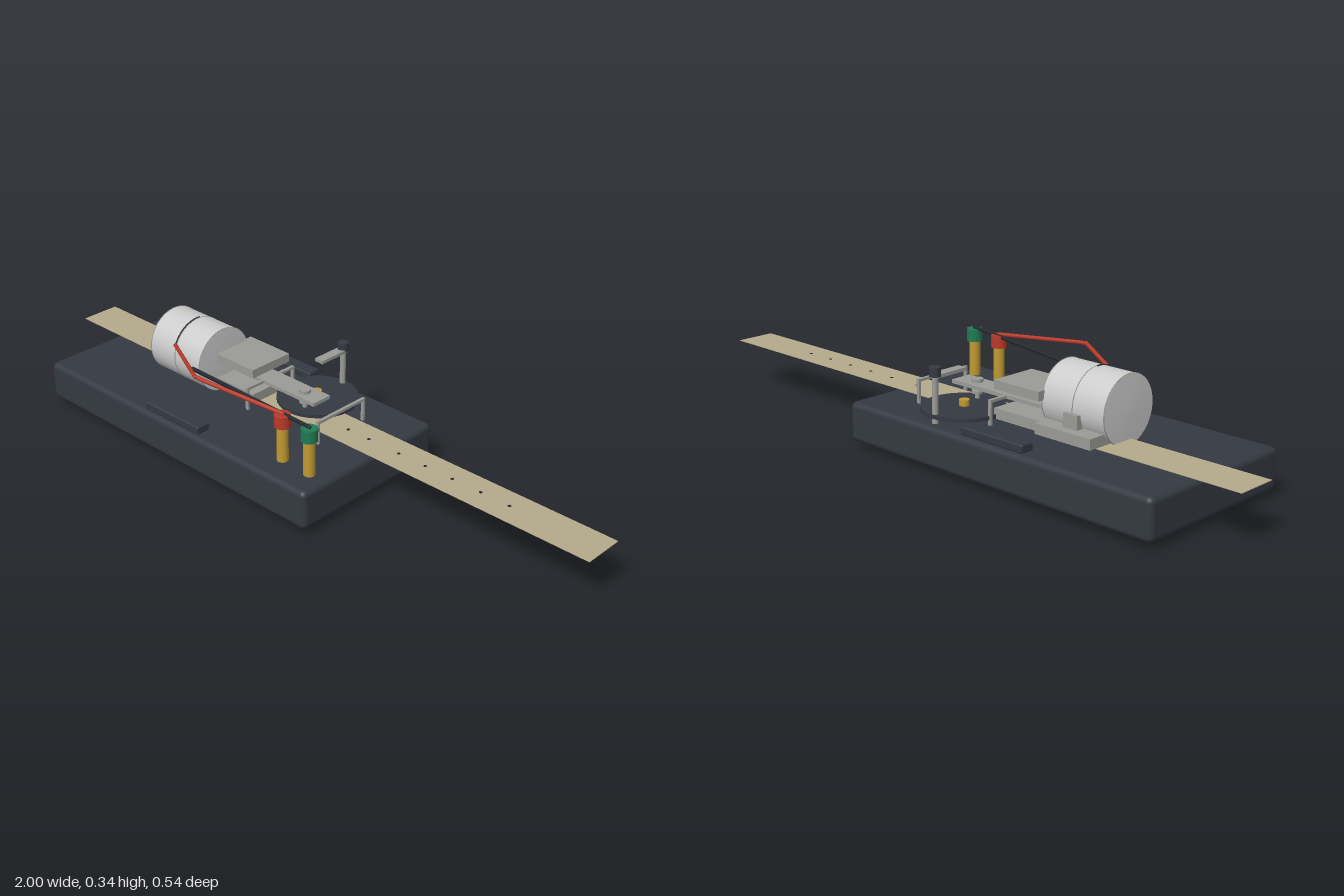
import * as THREE from 'three';
import { RoundedBoxGeometry } from 'three/addons/geometries/RoundedBoxGeometry.js';

const mat = (color) => new THREE.MeshStandardMaterial({ color });
const M = {
  grey: mat(0xcccccc), steel: mat(0x9a9a96), dark: mat(0x343941), black: mat(0x24282d),
  brass: mat(0xc09a30), red: mat(0xb83a2a), green: mat(0x1f7a55), paper: mat(0xb4a98a),
};

export function createModel() {
  const model = new THREE.Group();
  const add = (name, geometry, material, x = 0, y = 0, z = 0, parent = model) => {
    const mesh = new THREE.Mesh(geometry, material);
    mesh.name = name;
    mesh.position.set(x, y, z);
    parent.add(mesh);
    return mesh;
  };
  // Box given by its extents on each axis
  const box = (name, material, [x0, x1], [y0, y1], [z0, z1], parent) =>
    add(name, new THREE.BoxGeometry(x1 - x0, y1 - y0, z1 - z0), material,
      (x0 + x1) / 2, (y0 + y1) / 2, (z0 + z1) / 2, parent);
  // Upright cylinder from y0 to y1
  const post = (name, material, r, x, z, y0, y1, parent) =>
    add(name, new THREE.CylinderGeometry(r, r, y1 - y0, 32), material, x, (y0 + y1) / 2, z, parent);

  // Base block with feet and side pads
  add('base', new RoundedBoxGeometry(1.11, 0.122, 0.54, 4, 0.018), M.dark, -0.295, 0.079, 0);
  for (const s of [-1, 1]) {
    for (const x of [-0.72, 0.125]) post('foot', M.black, 0.034, x, s * 0.17, 0, 0.02);
    add('sidePad', new RoundedBoxGeometry(0.23, 0.026, 0.046, 3, 0.006), M.dark, -0.295, 0.151, s * 0.232);
  }

  // Paper tape with punched marks
  box('paperTape', M.paper, [-1, 1], [0.152, 0.154], [-0.115, 0.012]);
  for (const x of [0.126, 0.205, 0.318, 0.414, 0.51, 0.607, 0.703]) {
    post('tapeMark', M.black, 0.005, x, -0.053, 0.1525, 0.1548);
  }

  // Coil drum lying along x, with softly shaded ends and thin rims
  const drum = new THREE.Group();
  drum.name = 'coilDrum';
  drum.position.set(-0.447, 0.236, 0);
  drum.rotation.z = Math.PI / 2;
  model.add(drum);
  const profile = [[0, -0.113], [0.099, -0.111], [0.1, -0.108], [0.1, 0.108], [0.099, 0.111], [0, 0.113]]
    .map(([r, y]) => new THREE.Vector2(r, y));
  add('drumBody', new THREE.LatheGeometry(profile, 64), M.grey, 0, 0, 0, drum);
  for (const y of [-0.108, 0, 0.108]) {
    const rim = add('drumRim', new THREE.TorusGeometry(0.0995, 0.0018, 8, 64), M.steel, 0, y, 0, drum);
    rim.rotation.x = Math.PI / 2;
  }
  // Dark lead over the front of the drum
  const lead = add('coilLead', new THREE.TorusGeometry(0.1, 0.003, 8, 24, 1.3), M.black, -0.45, 0.236, 0);
  lead.rotation.y = -Math.PI / 2;
  lead.rotation.z = 0.35;

  // Frame blocks, upper plate and lever
  box('drumCradle', M.steel, [-0.545, -0.35], [0.154, 0.185], [-0.14, 0.03]);
  box('cradleTab', M.steel, [-0.475, -0.425], [0.185, 0.225], [-0.112, -0.09]);
  box('lowerBlock', M.steel, [-0.36, -0.18], [0.155, 0.185], [-0.12, 0.03]);
  box('upperPlate', M.steel, [-0.345, -0.18], [0.239, 0.266], [-0.121, 0.031]);
  box('lever', M.steel, [-0.345, 0.025], [0.205, 0.216], [-0.083, -0.014]);

  // Printing stylus through the lever
  post('stylusStem', M.steel, 0.007, -0.042, -0.047, 0.154, 0.22);
  post('stylusHead', M.steel, 0.017, -0.042, -0.047, 0.213, 0.226);
  post('stylusFoot', M.steel, 0.017, -0.042, -0.047, 0.183, 0.191);

  // Two arched tape guides
  for (const x of [-0.186, 0.102]) {
    const guide = new THREE.Group();
    guide.name = 'tapeGuide';
    model.add(guide);
    const w = [x - 0.005, x + 0.005];
    box('guideBar', M.steel, w, [0.206, 0.214], [-0.145, 0.052], guide);
    box('guideLeg', M.steel, w, [0.138, 0.208], [-0.145, -0.138], guide);
    box('guideLeg', M.steel, w, [0.138, 0.208], [0.045, 0.052], guide);
  }

  // Ink wheel on a brass hub, with its arm and post
  post('inkWheel', M.dark, 0.123, -0.065, -0.125, 0.156, 0.167);
  post('wheelHub', M.brass, 0.015, -0.065, -0.122, 0.138, 0.185);
  post('armPost', M.steel, 0.009, -0.065, -0.235, 0.138, 0.28);
  post('armKnob', M.dark, 0.017, -0.065, -0.235, 0.276, 0.303);
  box('wheelArm', M.steel, [-0.08, -0.05], [0.273, 0.283], [-0.24, -0.13]);

  // Binding posts with coloured caps
  for (const [x, z, cap] of [[0.091, 0.18, 'red'], [0.198, 0.184, 'green']]) {
    post('bindingPost', M.brass, 0.017, x, z, 0.138, 0.252);
    post('bindingCap', M[cap], 0.024, x, z, 0.249, 0.287);
  }

  // Wires made of straight runs with rounded joints
  const wire = (name, material, points) => {
    const path = new THREE.CurvePath();
    const v = points.map((p) => new THREE.Vector3(...p));
    for (let i = 1; i < v.length; i++) path.add(new THREE.LineCurve3(v[i - 1], v[i]));
    add(name, new THREE.TubeGeometry(path, 24, 0.006, 10), material);
    for (const p of v) add(name + 'Joint', new THREE.SphereGeometry(0.006, 10, 8), material, p.x, p.y, p.z);
  };
  wire('redWire', M.red, [[-0.45, 0.277, 0.093], [-0.21, 0.309, 0.229], [0.091, 0.288, 0.18]]);
  wire('blackWire', M.black, [[-0.325, 0.259, 0.137], [0.198, 0.29, 0.184]]);

  return model;
}
